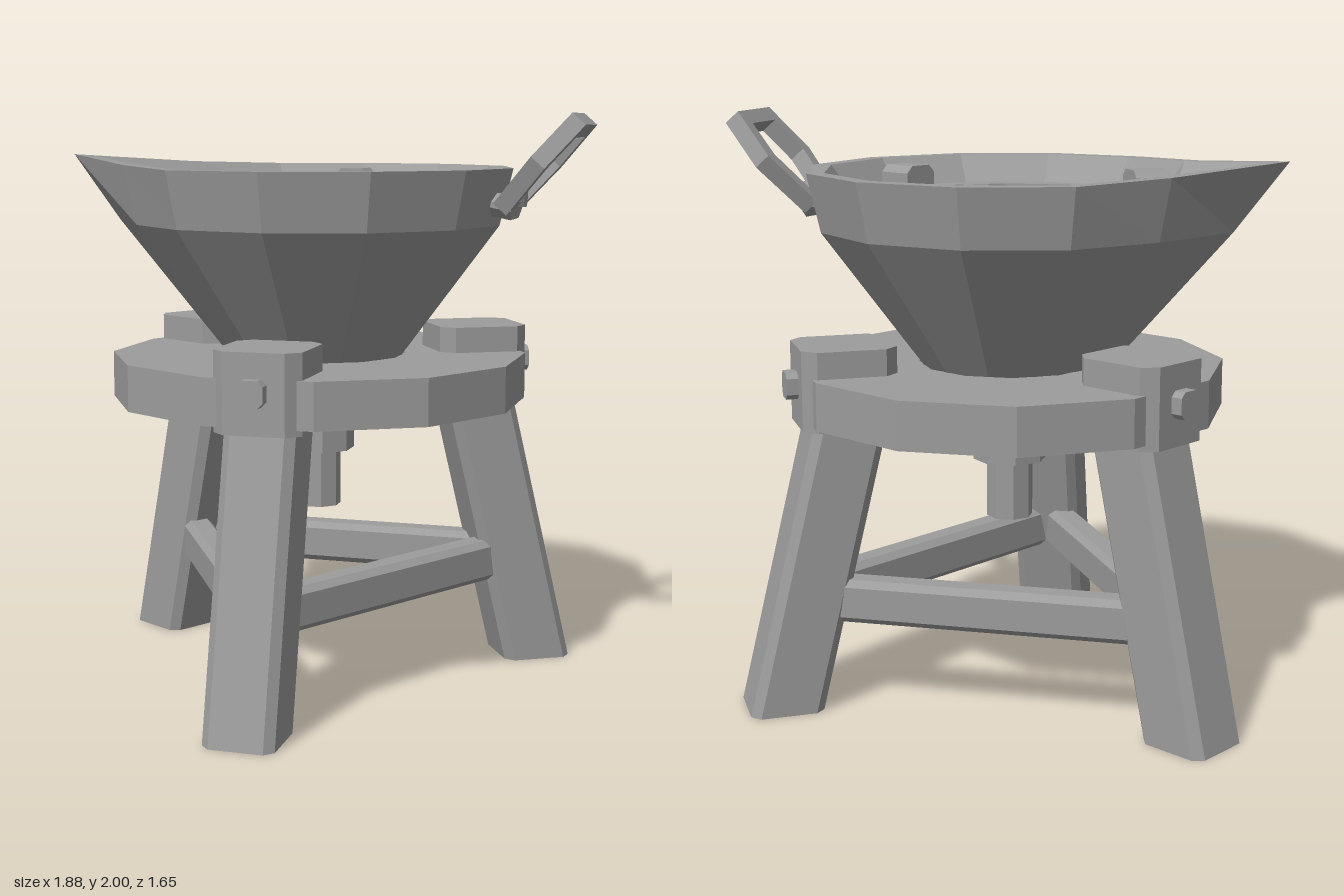
import * as THREE from 'three';

const metal = new THREE.MeshStandardMaterial({ color: 0x9c9c9c, flatShading: true });
metal.name = 'plain grey';

function add(parent, name, geo, x = 0, y = 0, z = 0) {
  const m = new THREE.Mesh(geo, metal);
  m.name = name;
  m.position.set(x, y, z);
  parent.add(m);
  return m;
}

const vec = (list) => list.map(([x, y]) => new THREE.Vector2(x, y));

// Regular polygon outline
function polygon(n, r, cx = 0, cy = 0, turn = 0) {
  return Array.from({ length: n }, (_, i) => {
    const a = turn + (i / n) * Math.PI * 2;
    return new THREE.Vector2(cx + r * Math.cos(a), cy + r * Math.sin(a));
  });
}

// Rectangle outline with cut corners
function cutRect(w, d, c) {
  const x = w / 2, y = d / 2;
  return vec([[x, -y + c], [x, y - c], [x - c, y], [-x + c, y],
    [-x, y - c], [-x, -y + c], [-x + c, -y], [x - c, -y]]);
}

function extrude(outline, depth, holes = []) {
  const s = new THREE.Shape(outline);
  holes.forEach((h) => s.holes.push(new THREE.Path(h)));
  return new THREE.ExtrudeGeometry(s, { depth, bevelEnabled: false });
}

// Upright prism standing on its local y = 0
const prism = (outline, h, holes) => extrude(outline, h, holes).rotateX(-Math.PI / 2);

// Bowl skin: each ring is [height, radius, radius at the spout, extra spout height]
function bowlGeometry(rings) {
  const n = 12, pos = [];
  const point = ([y, r, tip, lift], i) => {
    const k = i % n, a = (k / n) * Math.PI * 2;
    const rr = k === 6 ? tip : r;
    const up = k === 6 ? lift : k === 5 || k === 7 ? lift * 0.25 : 0;
    return [rr * Math.cos(a), y + up, rr * Math.sin(a)];
  };
  for (let k = 0; k < rings.length - 1; k++) {
    for (let i = 0; i < n; i++) {
      const a = point(rings[k], i), b = point(rings[k + 1], i);
      const c = point(rings[k + 1], i + 1), d = point(rings[k], i + 1);
      pos.push(...a, ...b, ...c, ...a, ...c, ...d);
    }
  }
  const g = new THREE.BufferGeometry();
  g.setAttribute('position', new THREE.Float32BufferAttribute(pos, 3));
  g.computeVertexNormals();
  return g;
}

export function createModel() {
  const model = new THREE.Group();
  model.name = 'funnelOnStand';
  const body = new THREE.Group();
  body.name = 'body';
  body.position.set(-0.015, 0, -0.11);
  model.add(body);

  // Table ring the funnel hangs in
  const flat = Math.PI / 12;
  add(body, 'tableRing', prism(polygon(12, 0.735, 0, 0, flat), 0.16,
    [polygon(12, 0.31, 0, 0, flat)]), 0, 1.0, 0);

  // Three splayed legs with head blocks and bolts
  for (let i = 0; i < 3; i++) {
    const leg = new THREE.Group();
    leg.name = 'leg' + (i + 1);
    leg.rotation.y = (i * Math.PI * 2) / 3;
    body.add(leg);

    const post = prism(cutRect(0.245, 0.25, 0.03), 1.0);
    const p = post.attributes.position;
    for (let v = 0; v < p.count; v++) p.setZ(v, p.getZ(v) + 0.815 - 0.24 * p.getY(v));
    post.computeVertexNormals();
    add(leg, 'legPost', post);

    add(leg, 'headBlock', prism(cutRect(0.3, 0.32, 0.045), 0.27), 0, 0.98, 0.58);
    add(leg, 'headBolt', extrude(cutRect(0.09, 0.09, 0.018), 0.06), 0, 1.12, 0.72);

    // Stretcher to the next leg, lying opposite this one
    const bar = extrude(cutRect(0.11, 0.15, 0.022), 1.25)
      .translate(0, 0, -0.625).rotateY(Math.PI / 2);
    add(leg, 'stretcher', bar, 0, 0.385, -0.36);
  }

  // Funnel bowl with a pointed spout, and its outlet
  add(body, 'funnelBowl', bowlGeometry([
    [0.9, 0.11, 0.13, 0],
    [1.62, 0.645, 0.755, 0],
    [1.815, 0.69, 0.932, 0.04],
    [1.815, 0.63, 0.865, 0.035],
    [1.71, 0.55, 0.55, 0],
    [1.68, 0.44, 0.44, 0],
  ]));
  const octagon = (r) => polygon(8, r, 0, 0, Math.PI / 8);
  add(body, 'outletCollar', prism(octagon(0.128), 0.095), 0, 0.815, 0);
  add(body, 'outletPipe', prism(octagon(0.08), 0.22), 0, 0.61, 0);

  // Sieve plate: hexagonal holes in rings over a closed backing
  const holes = [polygon(6, 0.042)];
  [[6, 0.12, 0], [12, 0.24, 0.5], [18, 0.36, 0]].forEach(([n, r, shift]) => {
    for (let i = 0; i < n; i++) {
      const a = ((i + shift) / n) * Math.PI * 2;
      holes.push(polygon(6, 0.042, r * Math.cos(a), r * Math.sin(a)));
    }
  });
  const disc = polygon(12, 0.475, 0, 0, flat);
  add(body, 'sievePlate', prism(disc, 0.045, holes), 0, 1.645, 0);
  add(body, 'sieveBacking', prism(polygon(12, 0.46, 0, 0, flat), 0.02), 0, 1.625, 0);
  add(body, 'sieveRim', prism(polygon(12, 0.565, 0, 0, flat), 0.06, [disc]), 0, 1.66, 0);

  // Three clips holding the sieve
  for (let i = 0; i < 3; i++) {
    const clip = new THREE.Group();
    clip.name = 'sieveClip' + (i + 1);
    clip.rotation.y = Math.PI + (i * Math.PI * 2) / 3;
    body.add(clip);
    add(clip, 'clipBlock', extrude(cutRect(0.13, 0.12, 0.025), 0.13), 0, 1.74, 0.43);
  }

  // Handle: tilted hexagonal loop on the side opposite the spout
  const loop = vec([[-0.115, 0], [0.115, 0], [0.2, 0.21], [0.145, 0.4], [-0.145, 0.4], [-0.2, 0.21]]);
  const opening = vec([[-0.085, 0.06], [0.085, 0.06], [0.14, 0.21], [0.105, 0.345], [-0.105, 0.345], [-0.14, 0.21]]);
  const handle = extrude(loop, 0.06, [opening])
    .translate(0, 0, -0.03).rotateY(Math.PI / 2).rotateZ(-0.72);
  add(body, 'handleLoop', handle, 0.665, 1.68, 0);

  const mount = extrude(cutRect(0.22, 0.08, 0.03), 0.08)
    .translate(0, 0, -0.04).rotateY(Math.PI / 2).rotateZ(-0.2);
  add(body, 'handleMount', mount, 0.665, 1.69, 0);
  add(body, 'handleBolt', extrude(polygon(6, 0.04), 0.09).rotateY(Math.PI / 2), 0.645, 1.72, 0);

  return model;
}
